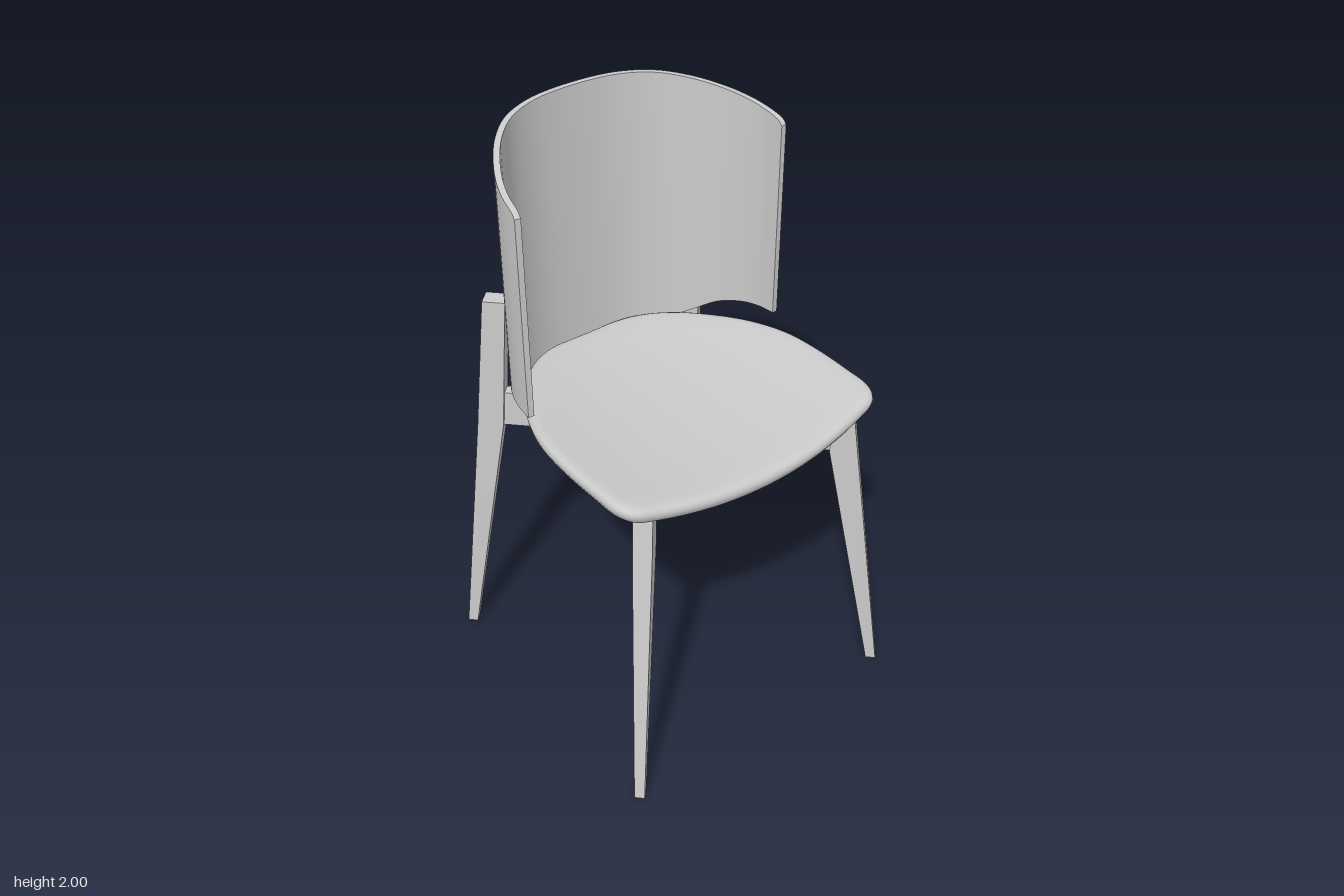
import * as THREE from 'three';
import { toCreasedNormals } from 'three/addons/utils/BufferGeometryUtils.js';

const material = new THREE.MeshStandardMaterial({ color: 0xcccccc });

// Skin a list of equal-length closed rings and cap both ends.
function loft(rings, crease) {
  const n = rings[0].length, last = (rings.length - 1) * n;
  const index = [];
  for (let i = 0; i < rings.length - 1; i++) {
    for (let j = 0; j < n; j++) {
      const a = i * n + j, b = i * n + (j + 1) % n;
      index.push(a, b, b + n, a, b + n, a + n);
    }
  }
  for (let k = 1; k < n - 1; k++) {
    index.push(0, k + 1, k, last, last + k, last + k + 1);
  }
  const geometry = new THREE.BufferGeometry();
  geometry.setAttribute('position', new THREE.Float32BufferAttribute(rings.flat(2), 3));
  geometry.setIndex(index);
  return toCreasedNormals(geometry, crease);
}

function addMesh(group, name, geometry) {
  const mesh = new THREE.Mesh(geometry, material);
  mesh.name = name;
  group.add(mesh);
  return mesh;
}

// Saddle-shaped seat: one outline repeated through a rounded edge profile.
function seatGeometry() {
  const half = [[0.15, -0.465], [0.24, -0.425], [0.32, -0.355], [0.4, -0.245], [0.46, -0.13],
    [0.5, 0], [0.513, 0.13], [0.512, 0.3], [0.505, 0.4], [0.475, 0.45], [0.4, 0.473], [0.2, 0.505]];
  const points = [[0, 0.515], ...half.slice().reverse(), [0, -0.474],
    ...half.map(([x, z]) => [-x, z])].map(([x, z]) => new THREE.Vector3(x, 0, z));
  const outline = new THREE.CatmullRomCurve3(points, true).getPoints(120).slice(0, -1);
  // [scale of outline, height above the underside]
  const profile = [[0.01, 0], [0.35, 0], [0.65, 0], [0.85, 0], [0.95, 0.002], [0.98, 0.01], [0.996, 0.025],
    [1, 0.036], [0.996, 0.046], [0.985, 0.054], [0.965, 0.059], [0.93, 0.061],
    [0.8, 0.06], [0.6, 0.059], [0.3, 0.059], [0.01, 0.059]];
  const rings = profile.map(([s, h]) => outline.map((p) => {
    const x = p.x * s;
    return [x, 1.037 + h + 0.21 * x * x, p.z * s];
  }));
  return loft(rings, 1.0);
}

// Thin curved backrest swept from its left end around the back to its right end.
function backrestGeometry() {
  // [x, z, bottom, top]
  const half = [[0.492, -0.055, 1.195, 1.882], [0.49, -0.075, 1.195, 1.9], [0.482, -0.13, 1.193, 1.917],
    [0.46, -0.195, 1.185, 1.936], [0.42, -0.27, 1.163, 1.956], [0.357, -0.358, 1.105, 1.975],
    [0.27, -0.435, 1.063, 1.99], [0.15, -0.482, 1.045, 1.998]];
  const stations = [...half, [0, -0.495, 1.04, 2], ...half.slice().reverse().map(([x, ...r]) => [-x, ...r])];
  const curve = (k) => new THREE.CatmullRomCurve3(
    stations.map((s) => new THREE.Vector3(s[0], s[k], s[1])), false, 'catmullrom');
  const bottom = curve(2), top = curve(3);
  const count = 80, rings = [];
  for (let i = 0; i <= count; i++) {
    const b = bottom.getPoint(i / count), t = top.getPoint(i / count);
    const d = bottom.getTangent(i / count).setY(0).normalize().multiplyScalar(0.01);
    const inner = [b.x + d.z, b.z - d.x], outer = [b.x - d.z, b.z + d.x];
    rings.push([[inner[0], b.y, inner[1]], [inner[0], t.y, inner[1]],
      [outer[0], t.y, outer[1]], [outer[0], b.y, outer[1]]]);
  }
  return loft(rings, 0.6);
}

// Tapered leg; each section is [height, inner radius, outer radius, half thickness].
function legGeometry(sections) {
  return loft(sections.map(([y, a, b, h]) =>
    [[a, y, h], [b, y, h], [b, y, -h], [a, y, -h]]), 0.05);
}

export function createModel() {
  const chair = new THREE.Group();
  chair.name = 'chair';

  addMesh(chair, 'seat', seatGeometry());
  addMesh(chair, 'backrest', backrestGeometry());

  // Legs on the diagonals; the rear pair runs up behind the backrest.
  const foot = [0, 0.72, 0.755, 0.017];
  const front = legGeometry([foot, [0.935, 0.53, 0.622, 0.03], [1.075, 0.53, 0.602, 0.03]]);
  const rear = legGeometry([foot, [0.935, 0.555, 0.643, 0.03], [1.42, 0.518, 0.592, 0.03]]);
  const quarter = Math.PI / 4;
  addMesh(chair, 'rearLeftLeg', rear).rotation.y = quarter;
  addMesh(chair, 'rearRightLeg', rear).rotation.y = 3 * quarter;
  addMesh(chair, 'frontLeftLeg', front).rotation.y = -quarter;
  addMesh(chair, 'frontRightLeg', front).rotation.y = -3 * quarter;

  // Crossed rails joining opposite legs under the seat.
  for (const side of [1, -1]) {
    const rail = addMesh(chair, 'crossRail', new THREE.BoxGeometry(1.11, 0.13, 0.04));
    rail.position.y = 1.0;
    rail.rotation.y = side * quarter;
  }
  return chair;
}
